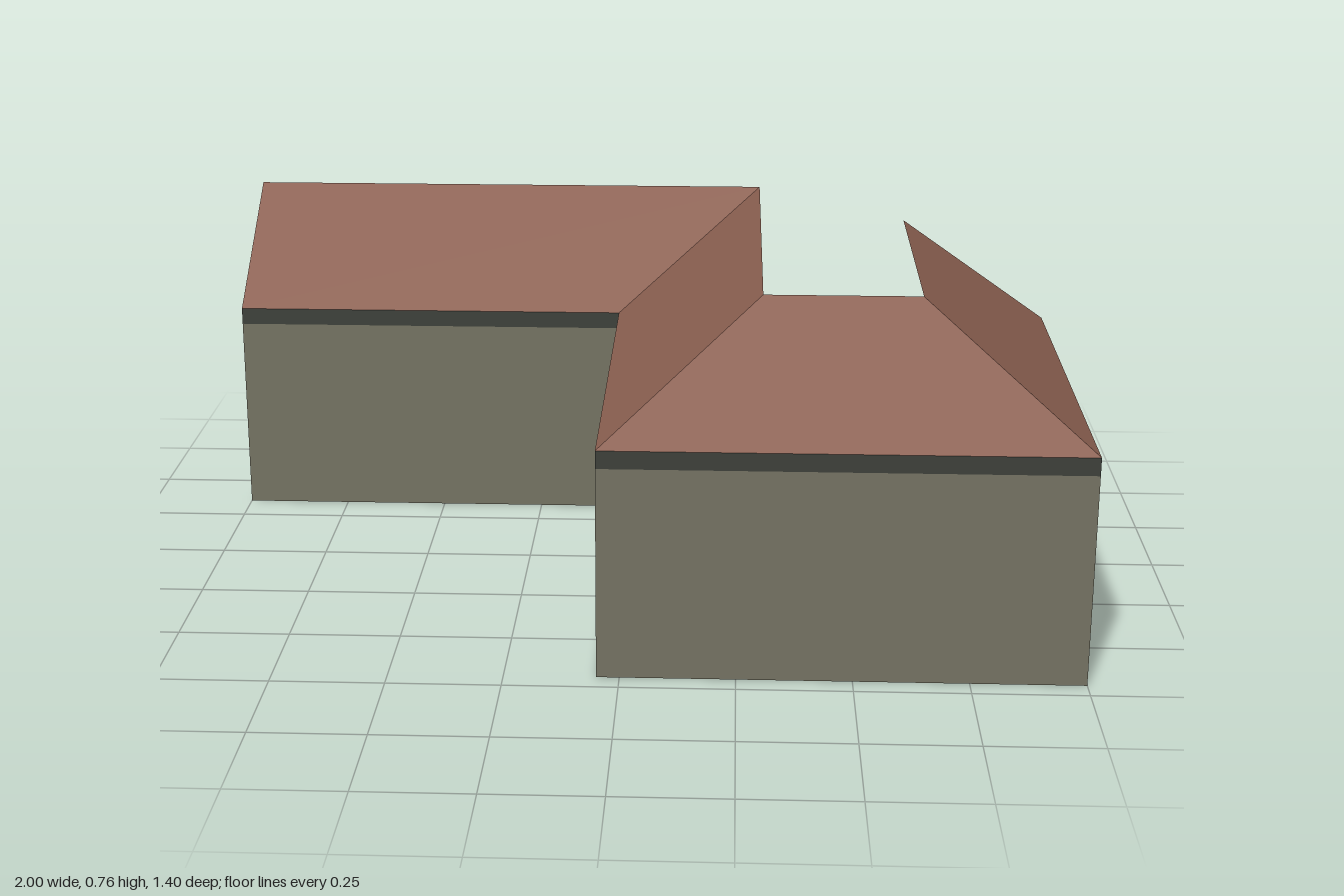
import * as THREE from 'three';

// Outline of the walls, followed with the outside on the right
const wallLine = [[-1, -0.35], [-0.05, -0.35], [-0.05, 0.7], [1, 0.7], [1, -0.35]];
// Mitred top edge of the roof, set in behind the walls
const ridgeLine = [[-1, -0.7], [0.3, -0.7], [0.3, 0.35], [0.65, 0.35], [0.65, -0.35]];

const WALL_TOP = 0.475, EAVE = 0.515, RIDGE = 0.76;

function material(name, color) {
  const m = new THREE.MeshStandardMaterial({ color, side: THREE.DoubleSide });
  m.name = name;
  return m;
}

// Flat-faced strip between a lower and an upper line
function strip(name, lower, y0, upper, y1, mat) {
  const positions = [];
  for (let i = 0; i < lower.length - 1; i++) {
    const a = [lower[i][0], y0, lower[i][1]];
    const b = [lower[i + 1][0], y0, lower[i + 1][1]];
    const c = [upper[i + 1][0], y1, upper[i + 1][1]];
    const d = [upper[i][0], y1, upper[i][1]];
    positions.push(...a, ...b, ...c, ...a, ...c, ...d);
  }
  const geometry = new THREE.BufferGeometry();
  geometry.setAttribute('position', new THREE.Float32BufferAttribute(positions, 3));
  geometry.computeVertexNormals();
  const mesh = new THREE.Mesh(geometry, mat);
  mesh.name = name;
  return mesh;
}

export function createModel() {
  const group = new THREE.Group();
  group.name = 'building';
  group.add(
    strip('walls', wallLine, 0, wallLine, WALL_TOP, material('stone grey', 0x757363)),
    strip('eaveBand', wallLine, WALL_TOP, wallLine, EAVE, material('dark trim', 0x3d403a)),
    strip('roof', wallLine, EAVE, ridgeLine, RIDGE, material('red brown tile', 0x8a5f50)),
  );
  return group;
}
